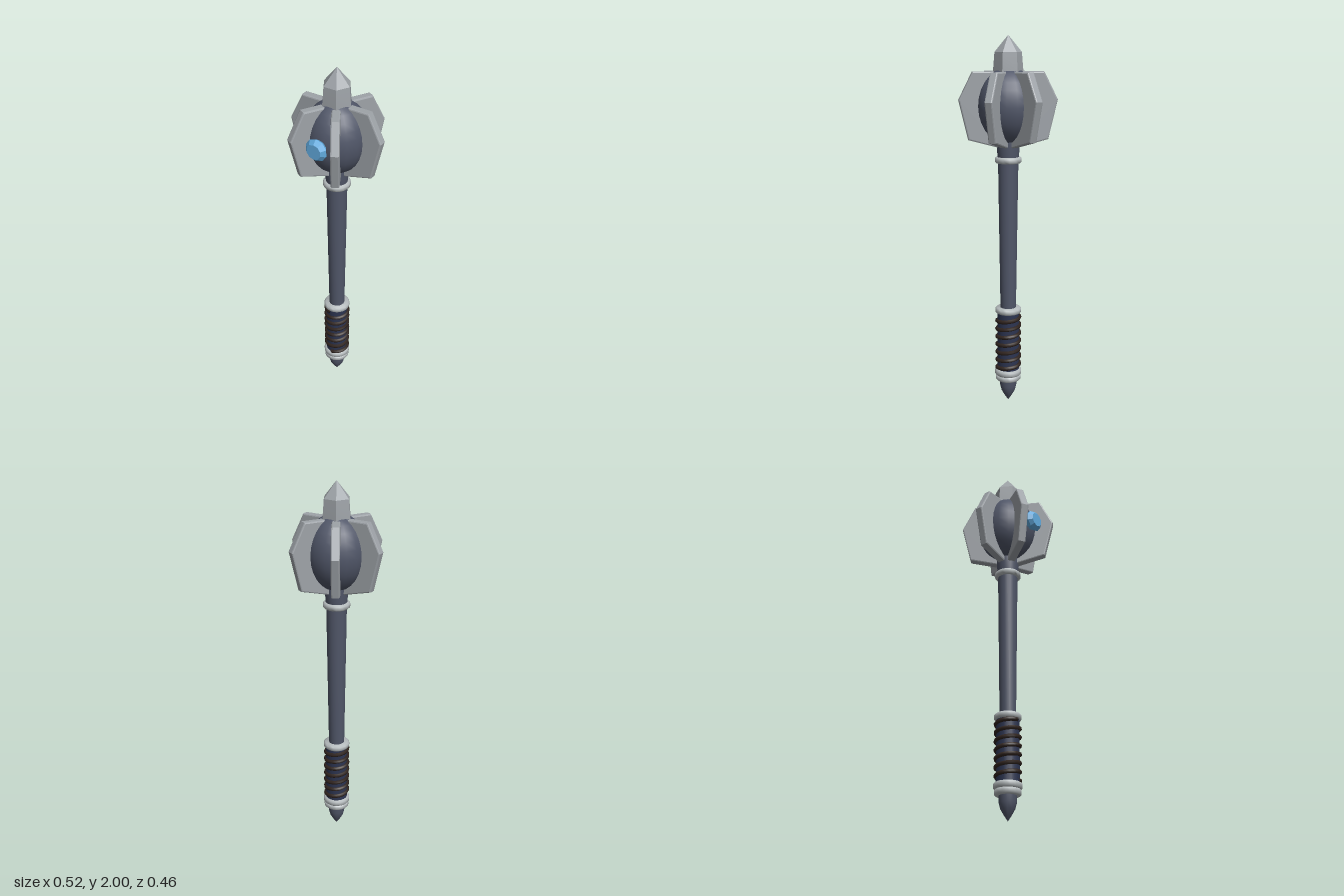
import * as THREE from 'three';
import { toCreasedNormals } from 'three/addons/utils/BufferGeometryUtils.js';

const material = (name, color, flatShading = false) => {
  const m = new THREE.MeshStandardMaterial({ color, flatShading });
  m.name = name;
  return m;
};

export function createModel() {
  const steel = material('steel', 0x9ea3a8);
  const silver = material('silver', 0xb4babc);
  const iron = material('darkIron', 0x505668);
  const cloth = material('navyGrip', 0x2c3450);
  const leather = material('leather', 0x30241f);
  const crystal = material('blueCrystal', 0x62abdf);

  const group = new THREE.Group();
  const add = (name, geometry, mat, parent = group) => {
    const mesh = new THREE.Mesh(geometry, mat);
    mesh.name = name;
    parent.add(mesh);
    return mesh;
  };
  // Turned part from [radius, y] points listed bottom to top
  const turned = (points, sides, crease = 0.6) => toCreasedNormals(
    new THREE.LatheGeometry(points.map(([r, y]) => new THREE.Vector2(r, y)), sides), crease);

  // Shaft, neck and pointed pommel
  add('shaft', turned([[0.042, 0.5], [0.054, 1.36]], 20), iron);
  add('neck', turned([[0.055, 1.36], [0.061, 1.43], [0.061, 1.48]], 20), iron);
  add('pommel', turned([[0, 0], [0.02, 0.03], [0.037, 0.06], [0.045, 0.09], [0.047, 0.14]], 20), iron);

  // Collars with chamfered rims
  const collar = (name, bottom, top, r) => {
    const c = 0.007;
    add(name, turned([[0, bottom], [r - c, bottom], [r, bottom + c],
      [r, top - c], [r - c, top], [0, top]], 24, 0.9), silver);
  };
  collar('lowerPommelCollar', 0.125, 0.158, 0.069);
  collar('upperPommelCollar', 0.156, 0.19, 0.073);
  collar('gripCollar', 0.515, 0.547, 0.071);
  collar('neckCollar', 1.342, 1.374, 0.071);

  // Grip with a spiral leather cord
  add('grip', new THREE.CylinderGeometry(0.06, 0.06, 0.34, 20, 1, true).translate(0, 0.352, 0), cloth);
  const turns = 7;
  const path = [];
  for (let i = 0; i <= turns * 16; i++) {
    const a = i / 16 * Math.PI * 2;
    path.push(new THREE.Vector3(0.061 * Math.sin(a), 0.195 + 0.315 * i / (turns * 16), 0.061 * Math.cos(a)));
  }
  add('gripCord', new THREE.TubeGeometry(new THREE.CatmullRomCurve3(path), turns * 24, 0.0115, 6), leather);

  // Egg-shaped core of the head
  const core = add('headCore', new THREE.SphereGeometry(0.163, 18, 14), iron);
  core.scale.set(1, 1.23, 1);
  core.position.y = 1.64;

  // Six bevelled flanges around the core
  const outline = new THREE.Shape([[0.03, 1.418], [0.21, 1.466], [0.259, 1.672], [0.187, 1.816], [0.03, 1.816]]
    .map(([x, y]) => new THREE.Vector2(x, y)));
  const bevel = 0.007;
  const flange = new THREE.ExtrudeGeometry(outline, {
    depth: 0.044 - 2 * bevel, bevelEnabled: true, bevelThickness: bevel,
    bevelSize: bevel, bevelOffset: -bevel, bevelSegments: 2,
  }).translate(0, 0, -0.022 + bevel);
  const flanges = new THREE.Group();
  flanges.name = 'flanges';
  group.add(flanges);
  for (let i = 0; i < 6; i++) {
    add('flange' + (i + 1), flange, steel, flanges).rotation.y = i * Math.PI / 3;
  }

  // Six-sided spike with corners on the x axis
  const spike = turned([[0, 1.79], [0.079, 1.79], [0.079, 1.82], [0.071, 1.915], [0, 2]], 6, 0.1);
  add('topSpike', spike.rotateY(Math.PI / 6), steel);

  // Faceted gem on the front of the core
  const gem = add('gem', turned([[0, -0.02], [0.036, -0.02], [0.06, 0.014], [0.058, 0.019],
    [0.04, 0.038], [0, 0.038]], 10, 0.1), crystal);
  gem.rotation.x = Math.PI / 2;
  gem.position.set(0, 1.645, 0.169);

  // Spike corners must lie on x, as the lathe starts on +z
  return group;
}
